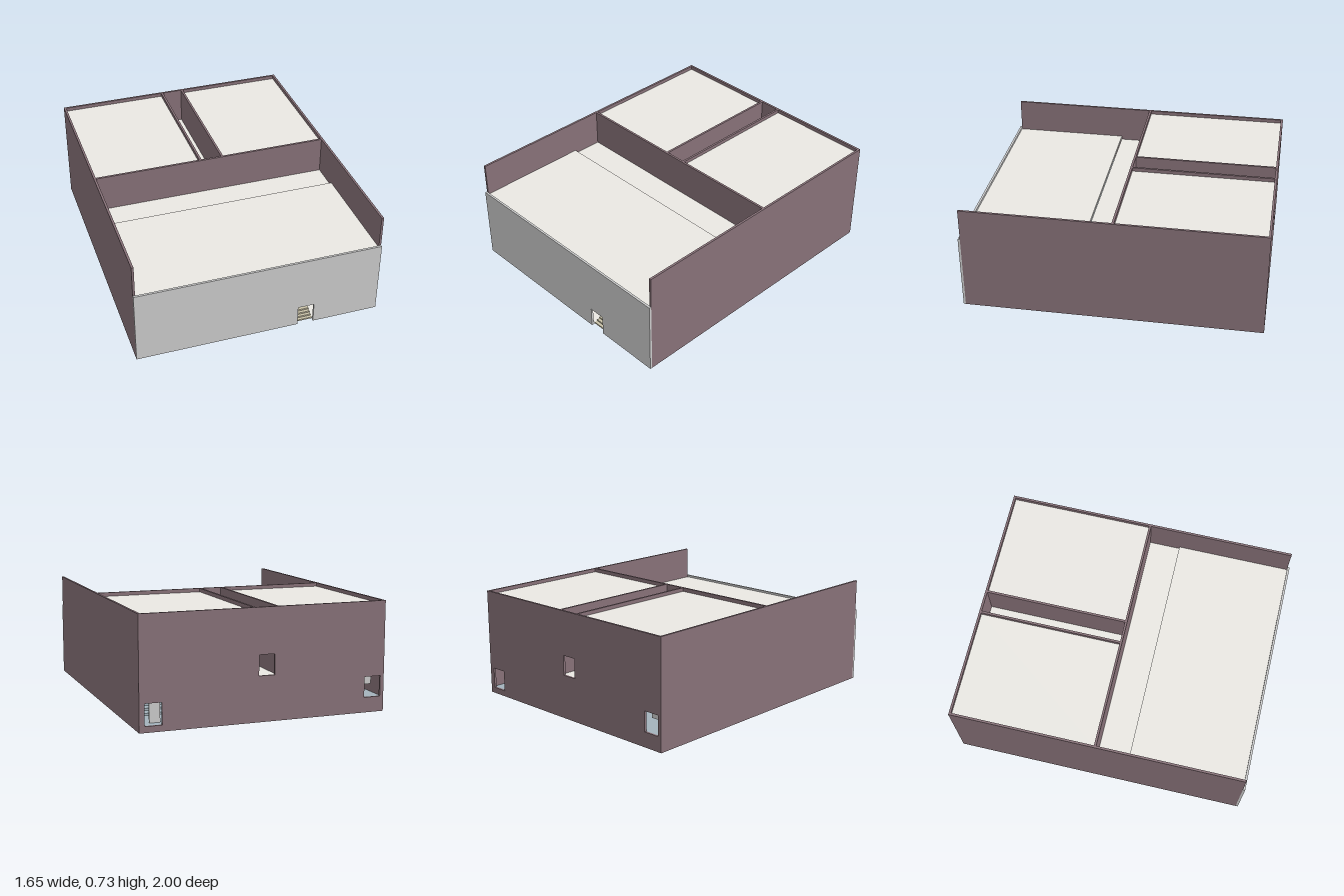
import * as THREE from 'three';

const mat = (color) => new THREE.MeshStandardMaterial({ color, flatShading: true, side: THREE.DoubleSide });

export function createModel() {
  const group = new THREE.Group();
  const brick = mat(0x877178), grey = mat(0xcccccc), roof = mat(0xeae8e3);
  const slate = mat(0xa4b3bc), plaster = mat(0xdcdcdc), timber = mat(0xc9c2a8);
  const W = 0.825, T = 0.015, H = 0.725;

  // box given by its two extreme corners
  const box = (name, m, x0, x1, y0, y1, z0, z1, parent = group) => {
    const mesh = new THREE.Mesh(new THREE.BoxGeometry(x1 - x0, y1 - y0, z1 - z0), m);
    mesh.position.set((x0 + x1) / 2, (y0 + y1) / 2, (z0 + z1) / 2);
    mesh.name = name;
    parent.add(mesh);
    return mesh;
  };
  const rect = (PathType, x0, x1, y0, y1) => {
    const p = new PathType();
    p.moveTo(x0, y0);
    p.lineTo(x1, y0);
    p.lineTo(x1, y1);
    p.lineTo(x0, y1);
    p.closePath();
    return p;
  };

  // front wall with a doorway cut up from the ground
  const front = new THREE.Shape();
  [[-W, 0], [0.265, 0], [0.265, 0.14], [0.375, 0.14], [0.375, 0], [W, 0], [W, 0.51], [-W, 0.51]]
    .forEach(([x, y], i) => (i ? front.lineTo(x, y) : front.moveTo(x, y)));
  front.closePath();
  const frontWall = new THREE.Mesh(new THREE.ExtrudeGeometry(front, { depth: T, bevelEnabled: false }), grey);
  frontWall.position.z = 1 - T;
  frontWall.name = 'frontWall';
  group.add(frontWall);

  // back wall with three exit openings
  const back = rect(THREE.Shape, -W, W, 0, H);
  [[0.68, 0.79, 0.04, 0.18], [-0.057, 0.049, 0.295, 0.428], [-0.8, -0.686, 0.1, 0.235]]
    .forEach((h) => back.holes.push(rect(THREE.Path, ...h)));
  const backWall = new THREE.Mesh(new THREE.ExtrudeGeometry(back, { depth: T, bevelEnabled: false }), brick);
  backWall.position.z = -1;
  backWall.name = 'backWall';
  group.add(backWall);

  // tall side walls, cross wall and corridor walls
  for (const s of [-1, 1]) {
    const [a, b] = s > 0 ? [W - T, W] : [-W, T - W];
    box('sideWall', brick, a, b, 0, H, -1 + T, 1 - T);
    const [c, d] = s > 0 ? [0.07, 0.085] : [-0.085, -0.07];
    box('corridorWall', brick, c, d, 0, H, -1 + T, -0.022);
  }
  box('crossWall', brick, T - W, W - T, 0, H, -0.022, -0.007);

  // roofs: two high halls, low corridor, lower strip and front block
  box('hallRoof', roof, 0.085, W - T, 0.68, 0.7, -1 + T, -0.022);
  box('hallRoof', roof, T - W, -0.085, 0.68, 0.7, -1 + T, -0.022);
  box('corridorRoof', roof, -0.07, 0.07, 0.45, 0.47, -1 + T, -0.022);
  box('corridorFloor', roof, -0.07, 0.07, 0.28, 0.295, -1 + T, -0.022);
  box('stripRoof', roof, T - W, W - T, 0.45, 0.47, -0.007, 0.205);
  box('frontRoof', roof, T - W, W - T, 0.475, 0.495, 0.205, 1 - T);

  // front block floor, rear partition and upper landing
  box('frontFloorLeft', roof, 0.375, W - T, 0, 0.01, 0.4, 1 - T);
  box('frontFloorRight', roof, T - W, 0.265, 0, 0.01, 0.4, 1 - T);
  box('frontFloorMiddle', roof, 0.265, 0.375, 0, 0.005, 0.4, 0.97);
  box('partition', plaster, T - W, W - T, 0, 0.475, 0.39, 0.4);
  box('partitionPanel', plaster, 0.215, 0.495, 0, 0.28, 0.37, 0.39);
  box('landing', slate, T - W, W - T, 0.28, 0.295, -0.007, 0.39);

  // stairs rising behind the front doorway
  const stairs = new THREE.Group();
  stairs.name = 'entranceStairs';
  group.add(stairs);
  for (let i = 0; i < 28; i++) {
    const z = 0.975 - i * 0.02;
    box('stairStep', timber, 0.265, 0.375, 0.0105 * i, 0.0105 * (i + 1), z - 0.02, z, stairs);
  }

  // raked seating platforms with deep riser boards, one set per hall
  for (const [x0, x1, base] of [[0.085, W - T, 0.04], [T - W, -0.085, 0.1]]) {
    const hall = new THREE.Group();
    hall.name = 'hallFloor';
    group.add(hall);
    box('hallPlatform', slate, x0, x1, base - 0.01, base, -1 + T, -0.74, hall);
    for (let i = 0; i < 10; i++) {
      const z = -0.74 + i * 0.0718, y = base + 0.014 * (i + 1);
      box('seatingTread', slate, x0, x1, y - 0.008, y, z, z + 0.0718, hall);
      box('riserBoard', slate, x0, x1, y - 0.045, y, z, z + 0.006, hall);
    }
  }

  // pale screens just inside the outer exits
  box('exitScreen', plaster, 0.67, 0.74, 0.04, 0.24, -0.93, -0.92);
  box('exitScreen', plaster, -0.77, -0.68, 0.17, 0.3, -0.93, -0.92);

  return group;
}
